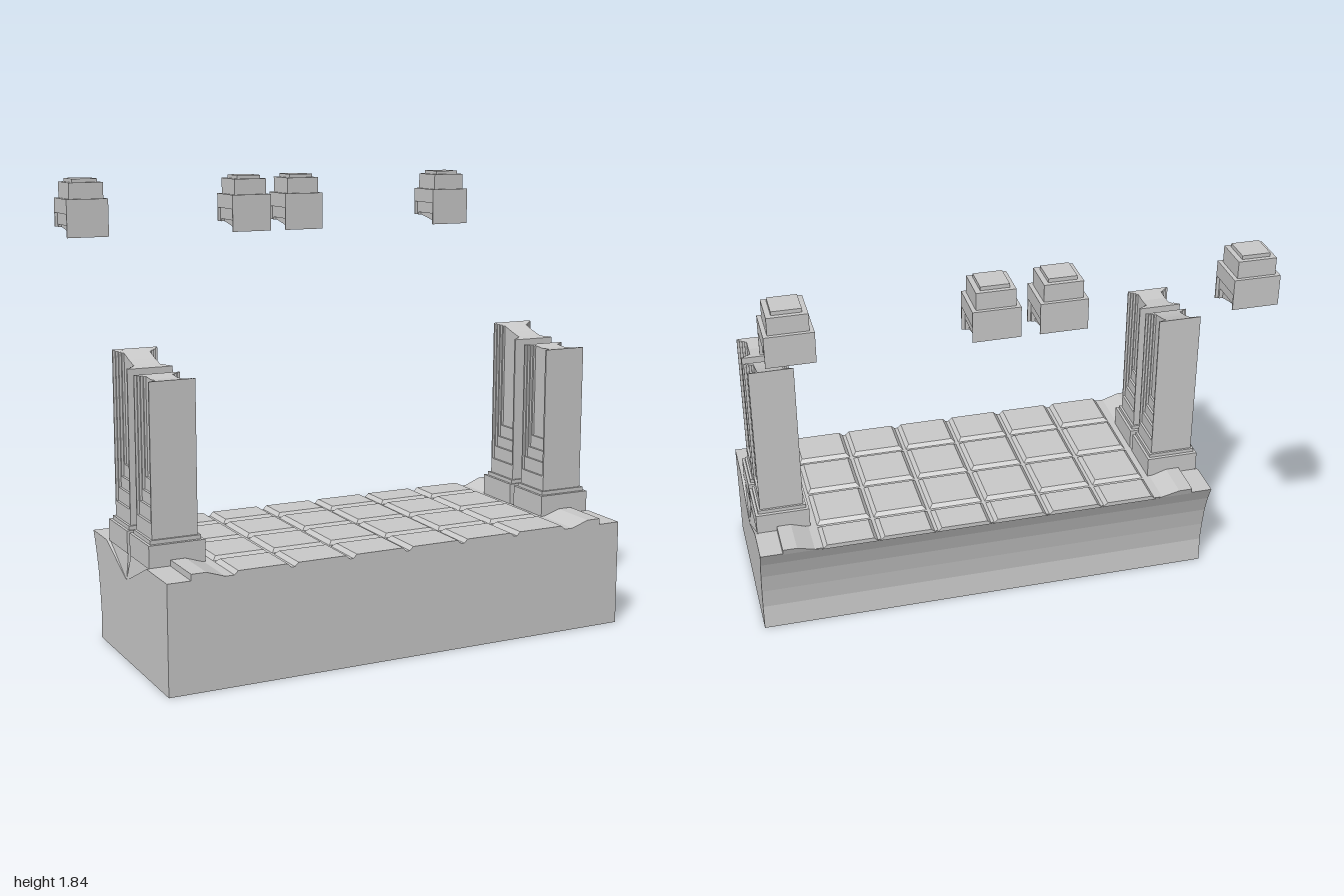
import * as THREE from 'three';
import { ConvexGeometry } from 'three/addons/geometries/ConvexGeometry.js';

export function createModel() {
  const model = new THREE.Group();
  model.name = 'ruinedGate';
  const mat = new THREE.MeshStandardMaterial({ color: 0xcccccc, flatShading: true });

  function add(parent, name, geo) {
    const m = new THREE.Mesh(geo, mat);
    m.name = name;
    parent.add(m);
    return m;
  }
  const v = (x, y, z) => new THREE.Vector3(x, y, z);

  // Side profile of [z, y] points, extruded from x0 to x1
  function slab(parent, name, pts, x0, x1) {
    const shape = new THREE.Shape(pts.map(p => new THREE.Vector2(p[0], p[1])));
    const g = new THREE.ExtrudeGeometry(shape, { depth: x1 - x0, bevelEnabled: false });
    g.rotateY(-Math.PI / 2);
    g.translate(x1, 0, 0);
    return add(parent, name, g);
  }
  function box(parent, name, x, z, w, d, y0, y1) {
    const g = new THREE.BoxGeometry(w, y1 - y0, d);
    g.translate(x, (y0 + y1) / 2, z);
    return add(parent, name, g);
  }

  // Platform: straight front, hollowed back
  const DECK = 0.435;
  const profile = notch => [
    [0.685, 0], [0.685, DECK], ...notch, [-0.16, DECK],
    [-0.132, 0.37], [-0.107, 0.29], [-0.09, 0.2], [-0.08, 0.11], [-0.087, 0],
  ];
  const platform = new THREE.Group();
  platform.name = 'platform';
  model.add(platform);
  slab(platform, 'platformMiddle', profile([]), -0.765, 0.765);
  for (const s of [-1, 1]) {
    const ends = (a, b) => (s > 0 ? [a, b] : [-b, -a]);
    // End with a narrow crack, then a shallow chamfered notch on the outer face
    slab(platform, 'crackedEnd', profile([[0.255, DECK], [0.24, 0.33], [0.225, DECK]]), ...ends(0.765, 0.985));
    slab(platform, 'notchedEnd', profile([[0.47, DECK], [0.24, 0.33], [0.005, DECK]]), ...ends(0.985, 1));
    for (const [far, near] of [[0.47, 0.255], [0.005, 0.225]]) {
      add(platform, 'notchSlope', new ConvexGeometry([
        v(s * 0.985, DECK, far), v(s * 0.985, DECK, near),
        v(s * 0.985, 0.33, 0.24), v(s, 0.33, 0.24),
      ]));
    }
    // Raised kerb strips in front of and behind the columns
    for (const [z0, z1, backTop] of [[0.475, 0.685, 0.475], [-0.16, 0.005, -0.17]]) {
      const pts = [];
      for (const z of [z0, z1]) {
        const zt = z === z0 ? backTop : z;
        pts.push(v(s * 0.905, DECK - 0.005, z), v(s * 0.905, 0.46, zt),
          v(s * 0.845, 0.46, zt), v(s * 0.755, DECK - 0.005, z));
      }
      add(platform, 'kerbStrip', new ConvexGeometry(pts));
    }
  }

  // Paving: bevelled tiles, cut off flush at the front and back edges
  const paving = new THREE.Group();
  paving.name = 'paving';
  model.add(paving);
  const rows = [-0.165, -0.005, 0.24, 0.485, 0.685];
  const T = 0.247, B = 0.02;
  for (let c = -3; c < 3; c++) {
    for (let r = 0; r < 4; r++) {
      const x0 = c * T + 0.003, x1 = (c + 1) * T - 0.003;
      const first = r === 0, last = r === 3;
      const z0 = rows[r] + (first ? 0 : 0.003), z1 = rows[r + 1] - (last ? 0 : 0.003);
      const t0 = z0 + (first ? 0 : B), t1 = z1 - (last ? 0 : B);
      const pts = [];
      for (const x of [x0, x1]) {
        const xt = x === x0 ? x + B : x - B;
        pts.push(v(x, DECK - 0.004, z0), v(x, DECK - 0.004, z1), v(xt, 0.45, t0), v(xt, 0.45, t1));
      }
      add(paving, 'tile', new ConvexGeometry(pts));
    }
  }

  // Stepped panels sunk into both x faces of a shaft. The closed end is at y = flat,
  // the broken end follows edge(z); each step is [inset, panel end, layer depth].
  function panelledShaft(parent, x, zc, half, halfX, flat, edge, steps) {
    const a = zc - half, b = zc + half;
    const cut = (p, q) => [0, 0.25, 0.5, 0.75, 1].map(t => p + (q - p) * t).map(z => [z, edge(z)]);
    let out = halfX;
    for (const [inset, end, depth] of steps) {
      const p = a + inset, q = b - inset;
      const pts = [[a, flat], [b, flat], [b, edge(b)], [q, edge(q)], [q, end], [p, end], [p, edge(p)], [a, edge(a)]];
      slab(parent, 'panelFrame', pts, x + out - depth, x + out);
      slab(parent, 'panelFrame', pts, x - out, x - out + depth);
      out -= depth;
    }
    slab(parent, 'shaftCore', [[a, flat], [b, flat], ...cut(b, a)], x - out, x + out);
  }

  // Four broken columns, in pairs at each end
  const frontBreak = z => 1.133 + 0.007 * Math.abs(z - 0.362) / 0.084;
  const backBreak = z => {
    const t = (0.21 - z) / 0.175;
    return 1.152 + 0.03 * t + 0.022 * t * t;
  };
  const columnSteps = [[0.008, 0.6, 0.01], [0.015, 0.655, 0.01], [0.022, 0.7, 0.01], [0.03, 0.75, 0.009]];
  for (const s of [-1, 1]) {
    for (const [zc, zs, half, edge, name] of [
      [0.362, 0.362, 0.084, frontBreak, 'frontColumn'],
      [0.118, 0.122, 0.0875, backBreak, 'backColumn'],
    ]) {
      const column = new THREE.Group();
      column.name = name;
      model.add(column);
      const x = s * 0.875;
      box(column, 'plinth', x, zc, 0.228, 0.215, DECK - 0.003, 0.522);
      box(column, 'plinthStep', x, zs, 0.205, half * 2 + 0.018, 0.522, 0.538);
      panelledShaft(column, x, zs, half, 0.0925, 0.538, edge, columnSteps);
    }
  }

  // Four floating column tops, broken along the underside
  const capBreak = z => {
    const t = (-0.512 - z) / 0.174;
    return 1.597 + 0.055 * t - 0.017 * t * t;
  };
  for (const x of [-0.875, -0.128, 0.125, 0.875]) {
    const cap = new THREE.Group();
    cap.name = 'columnTop';
    model.add(cap);
    panelledShaft(cap, x, -0.6, 0.087, 0.091, 1.757, capBreak, [[0.006, 1.695, 0.012], [0.016, 1.645, 0.014]]);
    box(cap, 'upperStep', x, -0.6, 0.15, 0.145, 1.757, 1.825);
    box(cap, 'capstone', x, -0.6, 0.11, 0.11, 1.825, 1.84);
  }

  return model;
}
